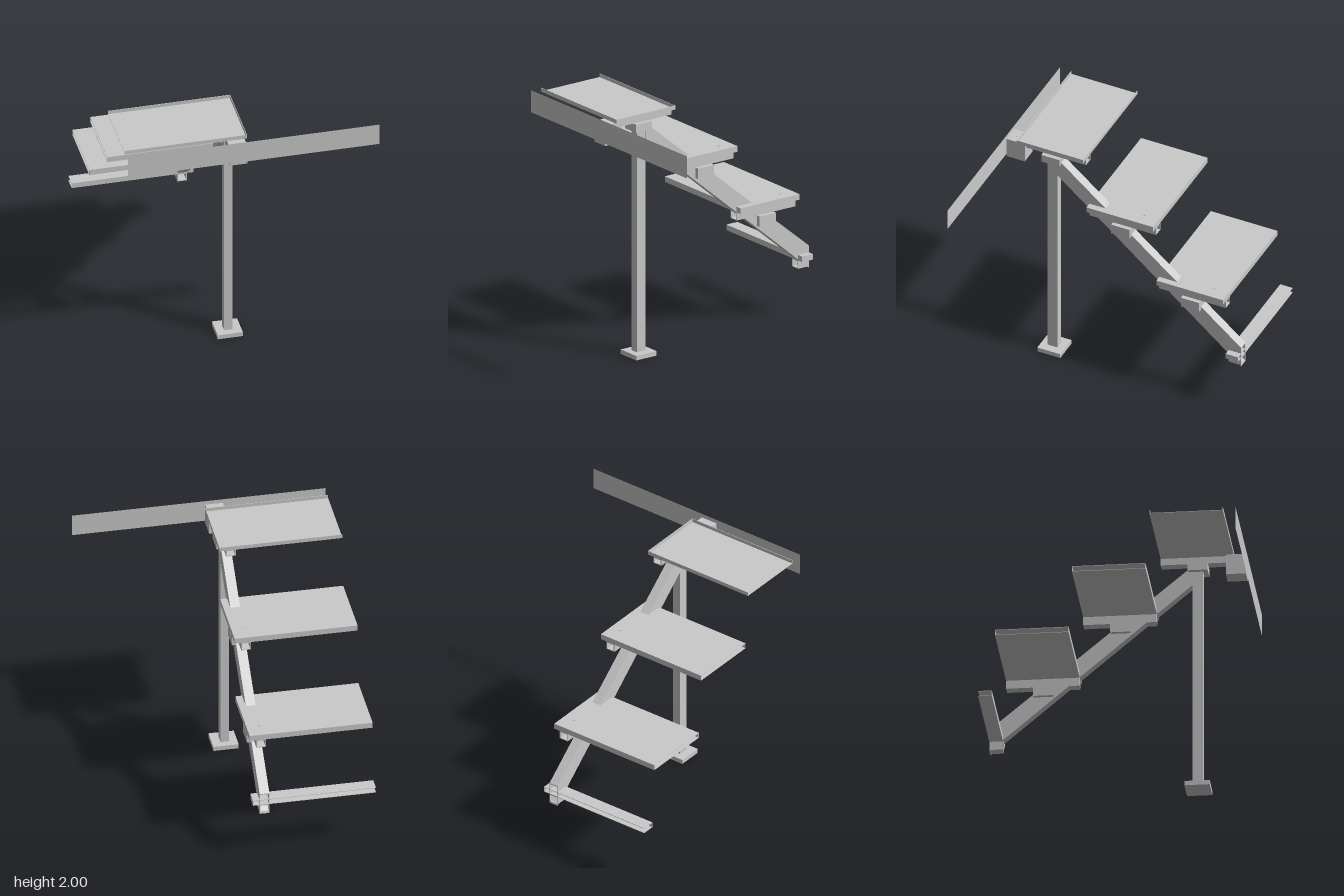
import * as THREE from 'three';

export function createModel() {
  const root = new THREE.Group();
  root.name = 'cantileverStair';
  const steel = new THREE.MeshStandardMaterial({ color: 0xcacaca, side: THREE.DoubleSide });
  steel.name = 'grey steel';

  const add = (geometry, name, parent = root) => {
    const mesh = new THREE.Mesh(geometry, steel);
    mesh.name = name;
    parent.add(mesh);
    return mesh;
  };
  // Box given by its two extents on each axis
  const block = (name, [x0, x1], [y0, y1], [z0, z1], parent) =>
    add(new THREE.BoxGeometry(x1 - x0, y1 - y0, z1 - z0), name, parent)
      .position.set((x0 + x1) / 2, (y0 + y1) / 2, (z0 + z1) / 2);

  const SHEET = 0.004;
  const BEAM_X = [-0.16, -0.083];
  const BRACKET_X = [-0.19, -0.05];
  const TREAD_X = [-1, -0.03];
  const BOLT_X = [-0.133, -0.112];

  const rect = (path, [x0, x1], [y0, y1], inset = 0) => path
    .moveTo(x0 + inset, y0 + inset).lineTo(x1 - inset, y0 + inset)
    .lineTo(x1 - inset, y1 - inset).lineTo(x0 + inset, y1 - inset).closePath();

  const extrude = (shape, depth) => new THREE.ExtrudeGeometry(shape, { depth, bevelEnabled: false });

  // Open-ended rectangular tube running along z
  const tube = (name, x, y, z, parent) => {
    const shape = rect(new THREE.Shape(), x, y);
    shape.holes.push(rect(new THREE.Path(), x, y, 0.006));
    add(extrude(shape, z[1] - z[0]).translate(0, 0, z[0]), name, parent);
  };

  // Horizontal tread sheet, with a square bolt hole where one is given
  const topSheet = (top, z, boltZ, parent) => {
    const shape = rect(new THREE.Shape(), TREAD_X, [-z[1], -z[0]]);
    if (boltZ !== undefined) {
      shape.holes.push(rect(new THREE.Path(), BOLT_X, [-boltZ - 0.01, -boltZ + 0.01]));
    }
    add(extrude(shape, SHEET).rotateX(-Math.PI / 2).translate(0, top - SHEET, 0), 'topSheet', parent);
  };

  // Hollow tread, open at the outer end, resting on a tubular bearer
  const tread = ({ name, y, z, barBottom, bracketZ, bracketHeight, boltZ, hasTop = true, hasBack = true }) => {
    const group = new THREE.Group();
    group.name = name;
    root.add(group);
    block('bottomSheet', TREAD_X, [y[0], y[0] + SHEET], z, group);
    if (hasTop) topSheet(y[1], z, boltZ, group);
    block('frontWall', TREAD_X, y, [z[1] - SHEET, z[1]], group);
    if (hasBack) block('backWall', TREAD_X, y, [z[0], z[0] + SHEET], group);
    block('endWall', [TREAD_X[1] - SHEET, TREAD_X[1]], y, z, group);
    tube('treadBearer', BEAM_X, [barBottom, y[0]], z, group);
    if (bracketZ) block('bracket', BRACKET_X, [barBottom - bracketHeight, barBottom], bracketZ, group);
  };

  // Post and base plate
  block('basePlate', [-0.22, -0.02], [0, 0.037], [0.523, 0.72]);
  block('post', [-0.155, -0.088], [0.037, 1.85], [0.58, 0.663]);

  // Sloping hollow stringer: outlines drawn in z and y, then turned to run along z
  const Z0 = -1, Z1 = 0.58, WALL = 0.008;
  const slope = (z, low) => (low ? 0.39 + (z + 1) * 0.85 : 0.572 + (z + 1) * 0.836);
  const slantedStrip = (name, low, high, x0, x1) => {
    const outline = [[Z0, low(Z0)], [Z1, low(Z1)], [Z1, high(Z1)], [Z0, high(Z0)]];
    const shape = new THREE.Shape(outline.map(([z, y]) => new THREE.Vector2(z, y)));
    add(extrude(shape, x1 - x0).rotateY(-Math.PI / 2).translate(x1, 0, 0), name);
  };
  const under = (z) => slope(z, true);
  const over = (z) => slope(z, false);
  slantedStrip('stringerLeftSide', under, over, BEAM_X[1] - SHEET, BEAM_X[1]);
  slantedStrip('stringerRightSide', under, over, BEAM_X[0], BEAM_X[0] + SHEET);
  slantedStrip('stringerTop', (z) => over(z) - WALL, over, ...BEAM_X);
  slantedStrip('stringerBottom', under, (z) => under(z) + WALL, ...BEAM_X);

  // Top landing tray, open above
  tread({
    name: 'topLanding', y: [1.968, 2], z: [0.332, 0.903], barBottom: 1.913,
    bracketZ: [0.545, 0.7], bracketHeight: 0.066, hasTop: false,
  });
  block('landingBolt', [-0.083, -0.081], [1.93, 1.96], [0.607, 0.637]);

  // Middle treads
  [[1.546, 0.302], [1.032, -0.297]].forEach(([top, front], i) => tread({
    name: `tread${i + 1}`, y: [top - 0.046, top], z: [front - 0.572, front],
    barBottom: top - 0.114, bracketHeight: 0.085,
    bracketZ: [front - 0.359, front - 0.202], boltZ: front - 0.45,
  }));

  // Lowest tread, cut short at the end of the stringer
  tread({
    name: 'lowestTread', y: [0.471, 0.516], z: [-1, -0.893], barBottom: 0.402, hasBack: false,
  });

  // Wall fixing block and thin fascia
  block('wallBlock', BRACKET_X, [1.8, 1.968], [0.842, 0.999]);
  block('wallBolt', BOLT_X, [1.968, 1.969], [0.93, 0.95]);
  add(new THREE.PlaneGeometry(2, 0.18), 'fascia').position.set(0, 1.91, 1);

  return root;
}
